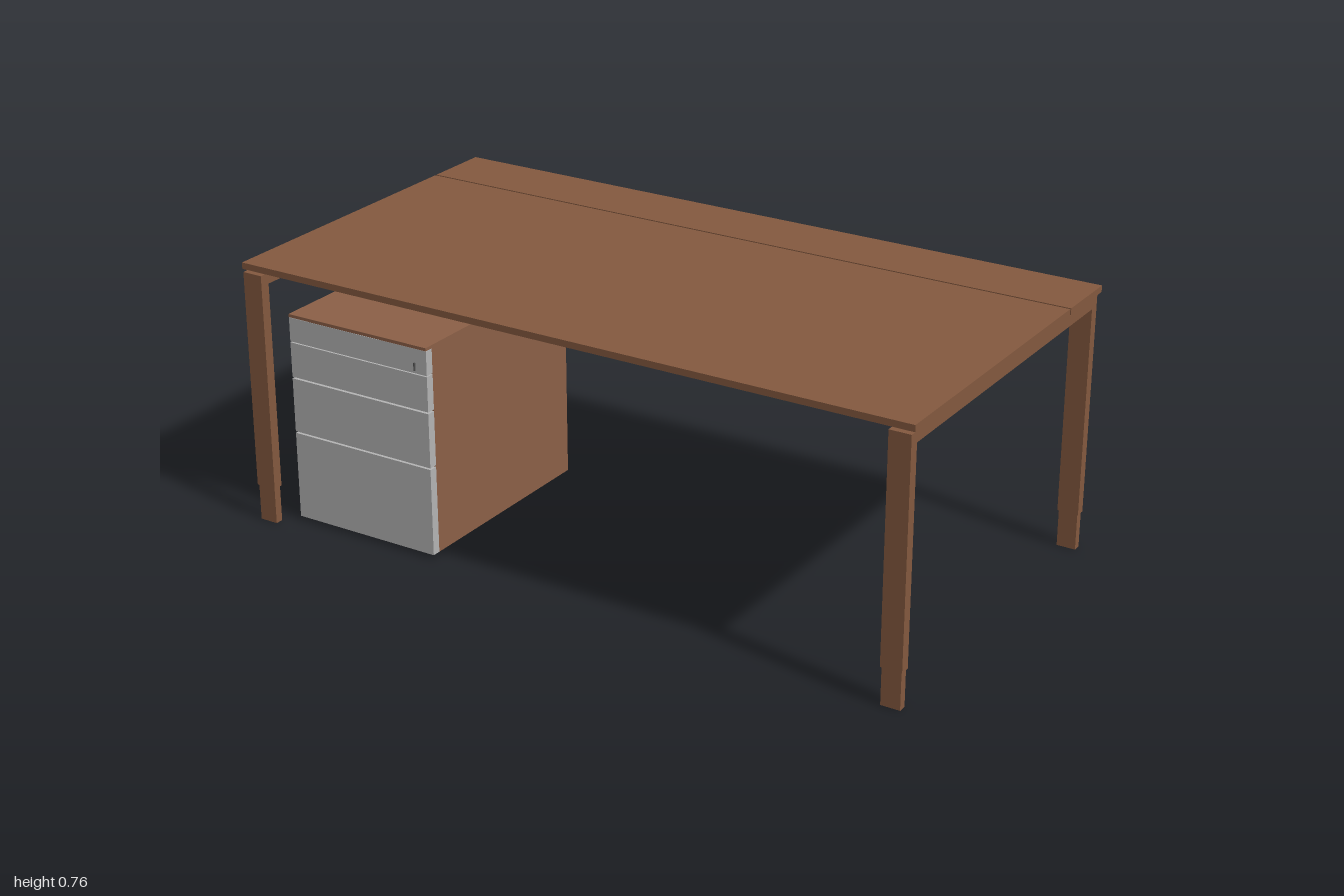
import * as THREE from 'three';

export function createModel() {
  const model = new THREE.Group();
  const wood = new THREE.MeshStandardMaterial({ color: 0x84593f });
  wood.name = 'brown wood';
  const cabinetWood = new THREE.MeshStandardMaterial({ color: 0x8c6047 });
  cabinetWood.name = 'cabinet wood';
  const metal = new THREE.MeshStandardMaterial({ color: 0xb4b4b4 });
  metal.name = 'grey metal';
  const dark = new THREE.MeshStandardMaterial({ color: 0x555555 });
  dark.name = 'dark metal';
  const trayWood = new THREE.MeshStandardMaterial({ color: 0x84593f, side: THREE.DoubleSide });
  trayWood.name = 'brown sheet';

  // Box given by its extents on each axis
  function box(parent, name, material, [x0, x1], [y0, y1], [z0, z1]) {
    const mesh = new THREE.Mesh(new THREE.BoxGeometry(x1 - x0, y1 - y0, z1 - z0), material);
    mesh.position.set((x0 + x1) / 2, (y0 + y1) / 2, (z0 + z1) / 2);
    mesh.name = name;
    parent.add(mesh);
    return mesh;
  }

  // Two-piece desk top with a cable gap
  box(model, 'mainTop', wood, [-1, 1], [0.738, 0.756], [-0.328, 0.527]);
  box(model, 'rearTop', wood, [-1, 1], [0.738, 0.756], [-0.527, -0.334]);

  // End frames: side rail, sleeve legs and narrower adjustable feet
  const frame = new THREE.Group();
  frame.name = 'frame';
  model.add(frame);
  for (const [x0, x1] of [[-1, -0.94], [0.93, 0.99]]) {
    box(frame, 'sideRail', wood, [x0, x1], [0.698, 0.728], [-0.495, 0.495]);
    for (const s of [-1, 1]) {
      const span = (a, b) => [Math.min(s * a, s * b), Math.max(s * a, s * b)];
      box(frame, 'leg', wood, [x0, x1], [0.105, 0.728], span(0.495, 0.524));
      box(frame, 'legFoot', wood, [x0 + 0.003, x1 - 0.003], [0, 0.105], span(0.498, 0.521));
    }
  }

  // Lengthwise rails, set in from the edges
  for (const z of [-0.275, 0.275]) {
    box(frame, 'longRail', wood, [-0.94, 0.93], [0.698, 0.728], [z - 0.015, z + 0.015]);
  }

  // Cable tray: open folded sheet swept along x
  const t = 0.002;
  const section = new THREE.Shape([
    [0.307, 0.698], [0.307, 0.655], [0.402, 0.655], [0.438, 0.698],
    [0.438 - 1.5 * t, 0.698], [0.402 - t / 2, 0.655 + t], [0.307 + t, 0.655 + t], [0.307 + t, 0.698],
  ].map(([z, y]) => new THREE.Vector2(z, y)));
  const trayGeometry = new THREE.ExtrudeGeometry(section, { depth: 1.685, bevelEnabled: false });
  trayGeometry.rotateY(Math.PI / 2);
  const tray = new THREE.Mesh(trayGeometry, trayWood);
  tray.position.x = -0.77;
  tray.name = 'cableTray';
  model.add(tray);

  // Drawer pedestal
  const pedestal = new THREE.Group();
  pedestal.name = 'pedestal';
  model.add(pedestal);
  const px = [-0.9, -0.444];
  const p = 0.01;
  box(pedestal, 'pedestalTop', cabinetWood, px, [0.602, 0.611], [-0.173, 0.469]);
  box(pedestal, 'pedestalSide', cabinetWood, [px[0], px[0] + p], [0.012, 0.602], [-0.173, 0.443]);
  box(pedestal, 'pedestalSide', cabinetWood, [px[1] - p, px[1]], [0.012, 0.602], [-0.173, 0.443]);
  box(pedestal, 'pedestalBack', cabinetWood, [px[0] + p, px[1] - p], [0.012, 0.602], [-0.173, -0.163]);
  box(pedestal, 'pedestalCore', cabinetWood, [px[0] + p, px[1] - p], [0.022, 0.602], [-0.163, 0.441]);

  // Drawer fronts separated by thin gaps
  for (const y of [[0.012, 0.263], [0.268, 0.424], [0.429, 0.529], [0.532, 0.601]]) {
    box(pedestal, 'drawerFront', metal, px, y, [0.443, 0.468]);
  }

  // Lock on the top drawer
  box(pedestal, 'lock', dark, [-0.484, -0.48], [0.54, 0.562], [0.468, 0.472]);

  return model;
}
